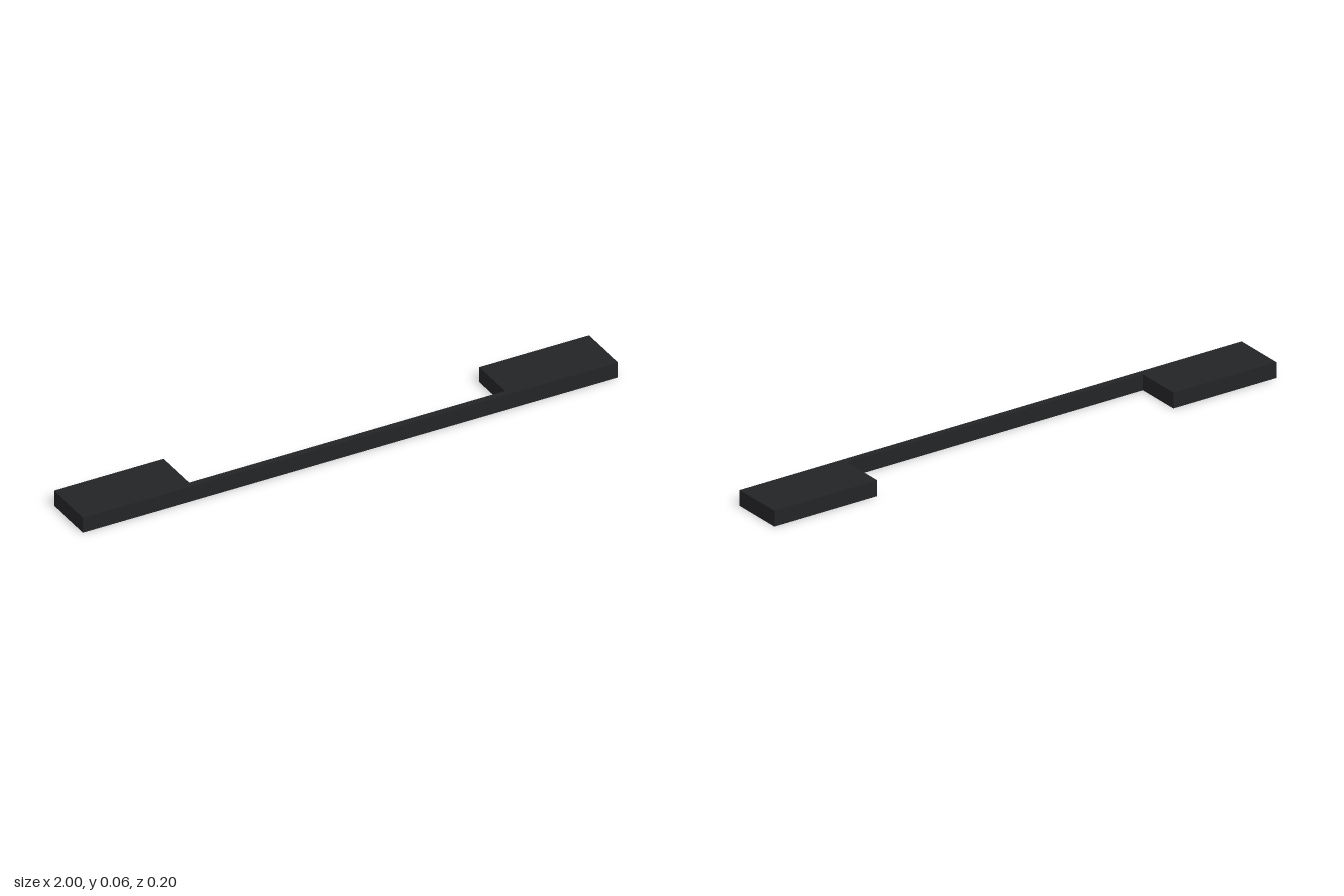
import * as THREE from 'three';

export function createModel() {
  const model = new THREE.Group();
  const material = new THREE.MeshStandardMaterial({ color: 0x232426 });
  const height = 0.057, front = 0.098, back = -0.098, inner = 0.59, thickness = 0.024;

  const addBox = (name, x0, x1, z0, z1) => {
    const mesh = new THREE.Mesh(new THREE.BoxGeometry(x1 - x0, height, z1 - z0), material);
    mesh.position.set((x0 + x1) / 2, height / 2, (z0 + z1) / 2);
    mesh.name = name;
    model.add(mesh);
  };

  // Thin front rail joining the two end blocks
  addBox('frontRail', -inner, inner, front - thickness, front);

  // Solid end blocks
  addBox('leftBlock', inner, 1, back, front);
  addBox('rightBlock', -1, -inner, back, front);

  return model;
}
